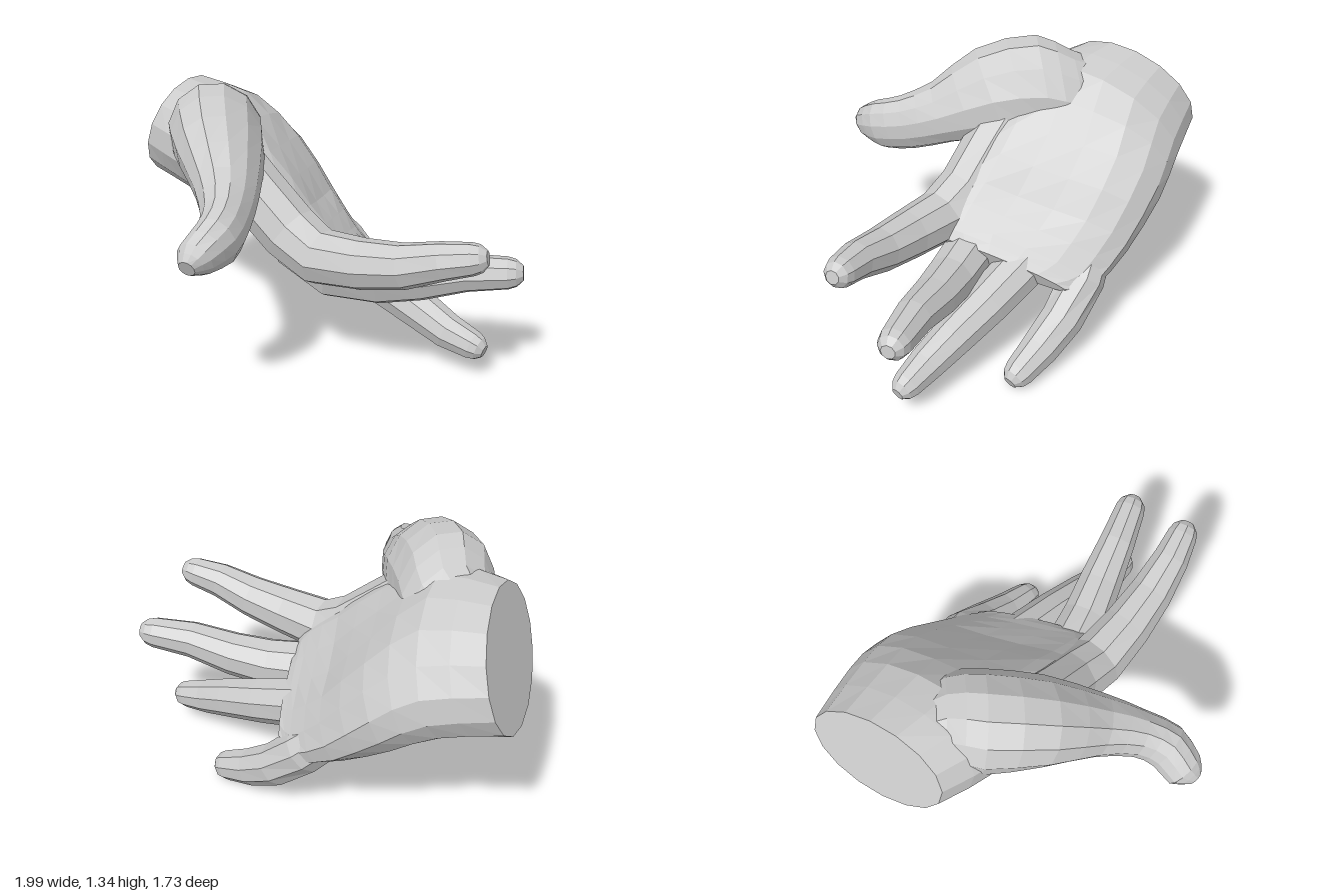
import * as THREE from 'three';

const V = (a) => new THREE.Vector3(...a);
const skin = new THREE.MeshStandardMaterial({ color: 0xcccccc, flatShading: true });

// Closed skin over rings { c, u, v, cup }: centre, half-width, half-thickness, hollow on the v side
function loft(name, rings, sides) {
  const pos = [], index = [];
  const n = rings.length;
  const way = rings[n - 1].c.clone().sub(rings[0].c);
  const mid = rings[n >> 1];
  const flip = mid.u.clone().cross(mid.v).dot(way) < 0 ? -1 : 1;
  for (const { c, u, v, cup = 0 } of rings) {
    for (let i = 0; i < sides; i++) {
      const a = (flip * (i + 0.5) * 2 * Math.PI) / sides;
      const s = Math.sin(a);
      const h = s > 0 ? s - cup * s ** 4 : s;
      pos.push(...c.clone().addScaledVector(u, Math.cos(a)).addScaledVector(v, h).toArray());
    }
  }
  for (let r = 0; r < n - 1; r++) {
    for (let i = 0; i < sides; i++) {
      const a = r * sides + i, b = r * sides + ((i + 1) % sides);
      index.push(a, b, b + sides, a, b + sides, a + sides);
    }
  }
  // end caps
  const first = pos.length / 3, last = first + 1;
  pos.push(...rings[0].c.toArray(), ...rings[n - 1].c.toArray());
  for (let i = 0; i < sides; i++) {
    const j = (i + 1) % sides, k = (n - 1) * sides;
    index.push(first, j, i, last, k + i, k + j);
  }
  const geo = new THREE.BufferGeometry();
  geo.setAttribute('position', new THREE.Float32BufferAttribute(pos, 3));
  geo.setIndex(index);
  const flat = geo.toNonIndexed();
  flat.computeVertexNormals();
  const mesh = new THREE.Mesh(flat, skin);
  mesh.name = name;
  return mesh;
}

// Rows of [centre, u, v, cup], smoothed into more rings
function smoothRings(rows, steps) {
  const curves = [0, 1, 2].map((k) => new THREE.CatmullRomCurve3(rows.map((r) => V(r[k]))));
  const rings = [];
  for (let i = 0; i <= steps; i++) {
    const t = i / steps, f = t * (rows.length - 1);
    const a = Math.min(Math.floor(f), rows.length - 2);
    const [c, u, v] = curves.map((q) => q.getPoint(t));
    rings.push({ c, u, v, cup: THREE.MathUtils.lerp(rows[a][3] ?? 0, rows[a + 1][3] ?? 0, f - a) });
  }
  return rings;
}

// Finger along points [x, y, z, radius], closed by a rounded tip
function finger(name, pts) {
  const p = pts.map((q) => V(q.slice(0, 3)));
  const rings = p.map((c, i) => {
    const t = p[Math.min(i + 1, p.length - 1)].clone().sub(p[Math.max(i - 1, 0)]).normalize();
    const u = new THREE.Vector3(0, 1, 0).cross(t).normalize();
    const v = t.clone().cross(u);
    return { c, t, u: u.multiplyScalar(pts[i][3]), v: v.multiplyScalar(pts[i][3]) };
  });
  const end = rings[rings.length - 1], r = pts[pts.length - 1][3];
  for (const [d, s] of [[0.5, 0.84], [0.9, 0.45]]) {
    rings.push({
      c: end.c.clone().addScaledVector(end.t, d * r),
      u: end.u.clone().multiplyScalar(s), v: end.v.clone().multiplyScalar(s),
    });
  }
  return loft(name, rings, 9);
}

export function createModel() {
  const hand = new THREE.Group();
  hand.name = 'hand';

  // Wrist and palm, thick at the heel, hollow in the middle and thin at the knuckles
  hand.add(loft('palm', smoothRings([
    [[-0.88, 1.0, -0.52], [-0.07, 0.04, 0.345], [0.09, 0.275, 0.04]],
    [[-0.62, 0.95, -0.41], [-0.09, 0.06, 0.43], [0.1, 0.285, 0.05]],
    [[-0.35, 0.81, -0.34], [-0.02, 0.07, 0.47], [0.12, 0.265, 0.02], 0.35],
    [[-0.12, 0.62, -0.24], [0, 0.1, 0.47], [0.1, 0.19, 0], 0.45],
    [[0.06, 0.505, -0.16], [0, 0.12, 0.44], [0.05, 0.11, 0], 0.25],
    [[0.15, 0.475, -0.14], [0, 0.08, 0.33], [0.02, 0.05, 0]],
  ], 10), 16));

  // Ball of the thumb, growing out of the wrist and running into the thumb
  hand.add(loft('thumb', smoothRings([
    [[-0.74, 0.98, -0.5], [0.13, 0, -0.05], [0, 0.2, 0.05]],
    [[-0.61, 1.04, -0.31], [0.19, 0, -0.08], [0, 0.245, 0.05]],
    [[-0.575, 1.08, -0.13], [0.22, 0, -0.09], [0, 0.275, 0.05]],
    [[-0.475, 1.06, 0.12], [0.195, 0, -0.09], [0, 0.22, 0.09]],
    [[-0.38, 0.96, 0.36], [0.145, 0, -0.04], [0, 0.15, 0.06]],
    [[-0.335, 0.89, 0.54], [0.11, 0, -0.02], [0, 0.14, 0.04]],
    [[-0.34, 0.85, 0.68], [0.105, 0, 0.02], [0, 0.13, 0.04]],
    [[-0.4, 0.81, 0.785], [0.09, 0, 0.03], [0, 0.09, 0.04]],
    [[-0.42, 0.79, 0.845], [0.04, 0, 0.01], [0, 0.04, 0.02]],
  ], 16), 12));

  // Fingers, each starting inside the palm; the index also forms the web below the thumb
  hand.add(
    finger('indexFinger', [
      [-0.46, 0.99, 0, 0.15], [-0.31, 0.85, 0.07, 0.15], [-0.13, 0.69, 0.14, 0.148],
      [0.03, 0.61, 0.22, 0.14], [0.25, 0.63, 0.305, 0.125], [0.45, 0.665, 0.365, 0.11],
      [0.63, 0.725, 0.405, 0.092], [0.765, 0.755, 0.42, 0.077],
    ]),
    finger('middleFinger', [
      [-0.18, 0.55, -0.01, 0.1], [0.06, 0.46, 0.05, 0.135], [0.3, 0.45, 0.075, 0.125],
      [0.5, 0.48, 0.085, 0.113], [0.72, 0.535, 0.1, 0.095], [0.92, 0.555, 0.105, 0.08],
    ]),
    finger('ringFinger', [
      [-0.18, 0.54, -0.33, 0.1], [0.06, 0.435, -0.225, 0.125], [0.3, 0.34, -0.11, 0.115],
      [0.5, 0.26, -0.005, 0.103], [0.65, 0.195, 0.075, 0.09], [0.775, 0.16, 0.125, 0.073],
    ]),
    finger('littleFinger', [
      [-0.24, 0.63, -0.54, 0.1], [0.02, 0.38, -0.515, 0.115], [0.17, 0.23, -0.46, 0.107],
      [0.31, 0.135, -0.39, 0.095], [0.445, 0.075, -0.325, 0.077],
    ]),
  );
  return hand;
}
